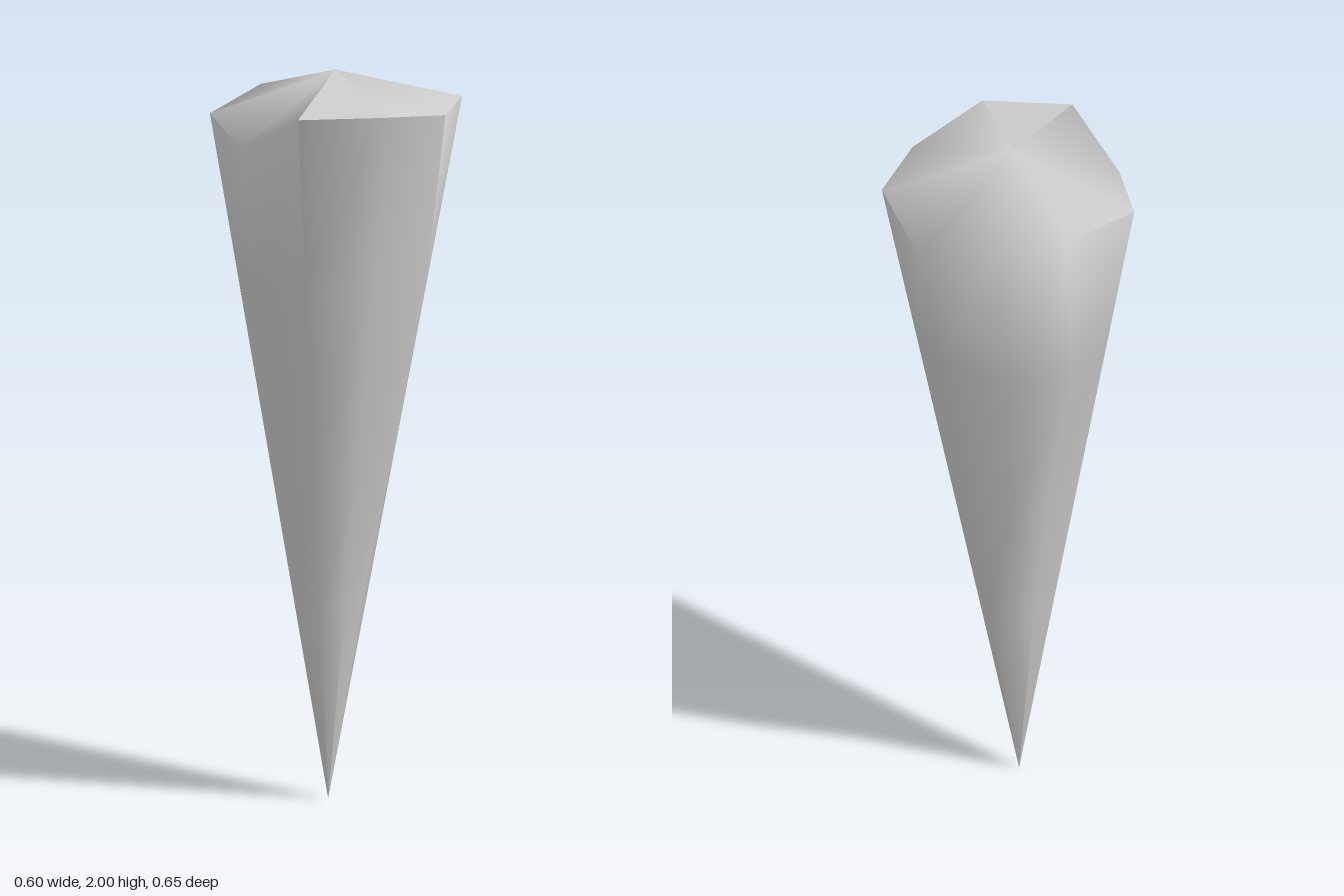
import * as THREE from 'three';
import { toCreasedNormals } from 'three/addons/utils/BufferGeometryUtils.js';

// Uneven nine-sided rim, clockwise from the back
const RIM = [
  [0.02, 1.82, -0.33], [0.22, 1.9, -0.265], [0.297, 1.9, -0.07],
  [0.273, 1.94, 0.17], [0.09, 1.94, 0.325], [-0.11, 1.83, 0.3],
  [-0.3, 1.87, 0.16], [-0.297, 1.9, -0.08], [-0.18, 1.86, -0.245],
].map((p) => new THREE.Vector3(...p));
const TIP = new THREE.Vector3(-0.03, 0, 0);
const APEX = new THREE.Vector3(0, 2, 0.01);

// Lower rings taper straight to the tip, apart from a few swollen corners [x, z]
const RINGS = [
  { y: 1.45, swell: { 2: [0.25, -0.05], 7: [-0.285, -0.06], 8: [-0.2, -0.21] } },
  { y: 0.95, swell: { 2: [0.155, -0.03], 7: [-0.17, -0.04], 8: [-0.14, -0.14] } },
  { y: 0.55, swell: {} },
];

function meshFrom(points, material, name, creaseAngle) {
  const flat = new THREE.BufferGeometry().setFromPoints(points);
  const mesh = new THREE.Mesh(toCreasedNormals(flat, creaseAngle), material);
  mesh.name = name;
  return mesh;
}

export function createModel() {
  const group = new THREE.Group();
  group.name = 'stoneSpike';
  const stone = new THREE.MeshStandardMaterial({ color: 0xcccccc });
  stone.name = 'paleGreyStone';

  const n = RIM.length;
  const rings = [RIM, ...RINGS.map(({ y, swell }) => RIM.map((p, i) => {
    const v = TIP.clone().lerp(p, y / p.y);
    if (swell[i]) v.set(swell[i][0], y, swell[i][1]);
    return v;
  }))];

  const body = [];
  const facet = [];
  for (let i = 0; i < n; i++) {
    const j = (i + 1) % n;
    // Cap fan, with the raised front facet kept separate for its sharp edges
    (i === 3 ? facet : body).push(APEX, RIM[j], RIM[i]);
    // Tapering sides
    for (let k = 0; k < rings.length - 1; k++) {
      const [u, l] = [rings[k], rings[k + 1]];
      body.push(u[i], u[j], l[j], u[i], l[j], l[i]);
    }
    // Pointed end
    const last = rings[rings.length - 1];
    body.push(last[i], last[j], TIP);
  }

  group.add(meshFrom(body, stone, 'spikeBody', 1.4));
  group.add(meshFrom(facet, stone, 'capFacet', 0.5));
  return group;
}
